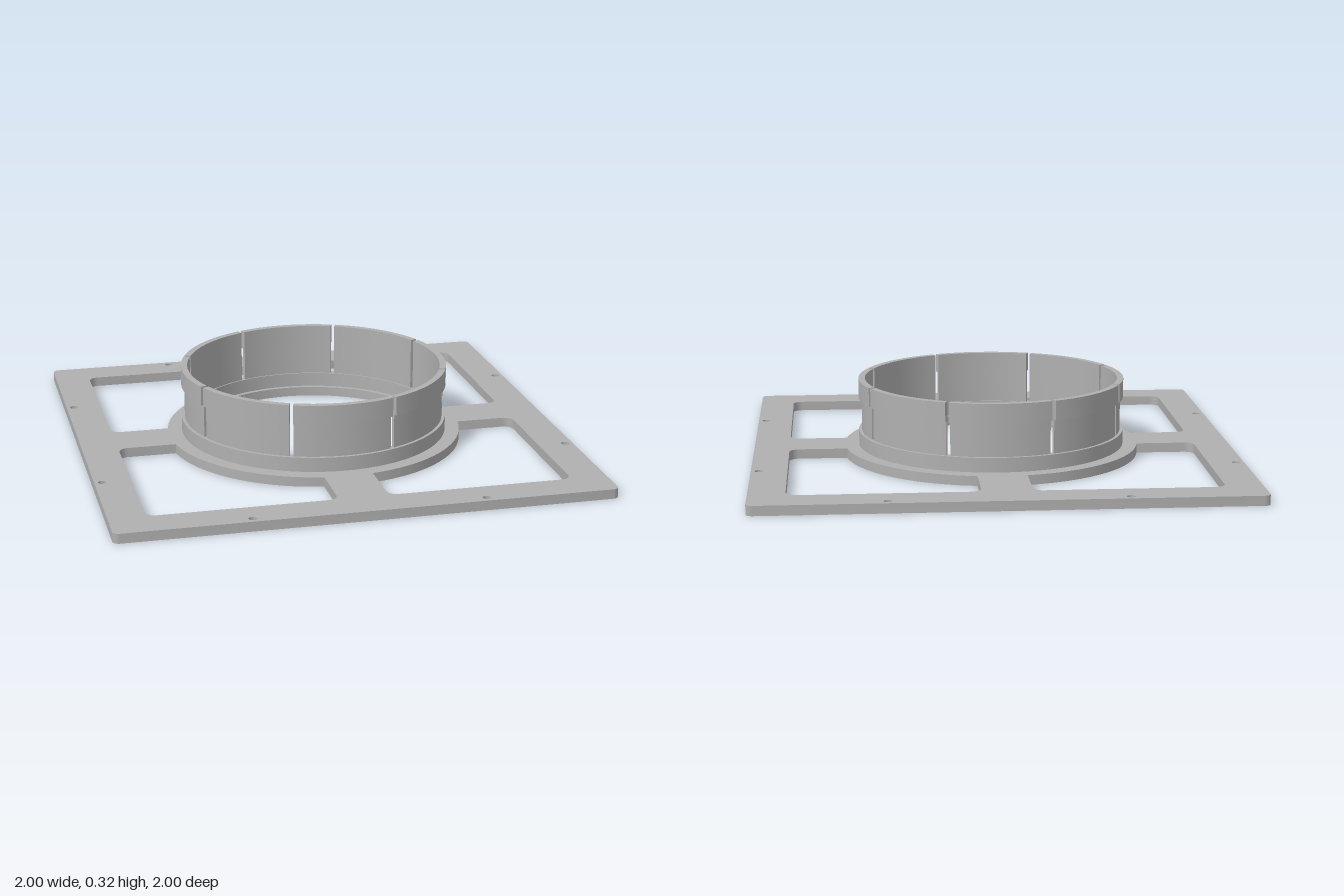
import * as THREE from 'three';
import { toCreasedNormals } from 'three/addons/utils/BufferGeometryUtils.js';

const PLATE_TOP = 0.04, SLOT_BASE = 0.1, LIP_BASE = 0.24, TOP = 0.32;
const INNER = 0.527;

// Extrudes a plan shape upwards from y0 to y1
function slab(shape, y0, y1) {
  const geo = new THREE.ExtrudeGeometry(shape, { depth: y1 - y0, bevelEnabled: false, curveSegments: 16 });
  geo.rotateX(-Math.PI / 2).translate(0, y0, 0);
  return toCreasedNormals(geo, 0.5);
}

function arcPoints(r, a0, a1, n, cx = 0, cy = 0) {
  return Array.from({ length: n + 1 }, (_, i) => {
    const a = a0 + (a1 - a0) * i / n;
    return new THREE.Vector2(cx + r * Math.cos(a), cy + r * Math.sin(a));
  });
}

const circle = (r, n, cx = 0, cy = 0) => new THREE.Path(arcPoints(r, 0, Math.PI * 2, n, cx, cy).slice(0, n));

// Square frame with four windows, a round opening and eight screw holes
function plateShape() {
  const q = Math.PI / 2, c = 0.975, r = 0.025;
  const shape = new THREE.Shape([
    ...arcPoints(r, 0, q, 5, c, c), ...arcPoints(r, q, 2 * q, 5, -c, c),
    ...arcPoints(r, 2 * q, 3 * q, 5, -c, -c), ...arcPoints(r, 3 * q, 4 * q, 5, c, -c),
  ]);
  shape.holes.push(circle(0.508, 96));

  // One quadrant window, bounded inside by the hub
  const near = 0.1, far = 0.853, f = 0.04, hub = 0.62;
  const a = Math.asin(near / hub);
  const window = [
    ...arcPoints(hub, q - a, a, 24),
    ...arcPoints(f, -q, 0, 6, far - f, near + f),
    ...arcPoints(f, 0, q, 6, far - f, far - f),
    ...arcPoints(f, q, 2 * q, 6, near + f, far - f),
  ];
  for (const sx of [-1, 1]) for (const sy of [-1, 1]) {
    shape.holes.push(new THREE.Path(window.map(p => new THREE.Vector2(p.x * sx, p.y * sy))));
    shape.holes.push(circle(0.017, 16, sx * 0.463, sy * 0.968));
    shape.holes.push(circle(0.017, 16, sx * 0.968, sy * 0.463));
  }
  return shape;
}

// Curved wall between two parallel-sided slots
function wallShape(outer) {
  const half = 0.008, edge = Math.PI / 8;
  const ao = edge - Math.asin(half / outer), ai = edge - Math.asin(half / INNER);
  return new THREE.Shape([...arcPoints(outer, -ao, ao, 16), ...arcPoints(INNER + 0.006, ai, -ai, 16)]);
}

export function createModel() {
  const model = new THREE.Group();
  const grey = new THREE.MeshStandardMaterial({ color: 0xb0b0b0 });
  grey.name = 'grey plastic';
  const add = (name, geo, parent = model) => {
    const mesh = new THREE.Mesh(geo, grey);
    mesh.name = name;
    parent.add(mesh);
    return mesh;
  };

  add('basePlate', slab(plateShape(), 0, PLATE_TOP));

  // Unbroken foot of the collar
  const foot = new THREE.Shape(circle(0.56, 128).getPoints());
  foot.holes.push(circle(INNER, 128));
  add('collarFoot', slab(foot, PLATE_TOP, SLOT_BASE));

  // Eight spring tabs, each a recessed wall with a thicker lip
  const wall = slab(wallShape(0.547), SLOT_BASE, LIP_BASE);
  const lip = slab(wallShape(0.56), LIP_BASE, TOP);
  for (let i = 0; i < 8; i++) {
    const tab = new THREE.Group();
    tab.name = 'springTab' + (i + 1);
    add('tabWall', wall, tab);
    add('tabLip', lip, tab);
    tab.rotation.y = i * Math.PI / 4;
    model.add(tab);
  }
  return model;
}
